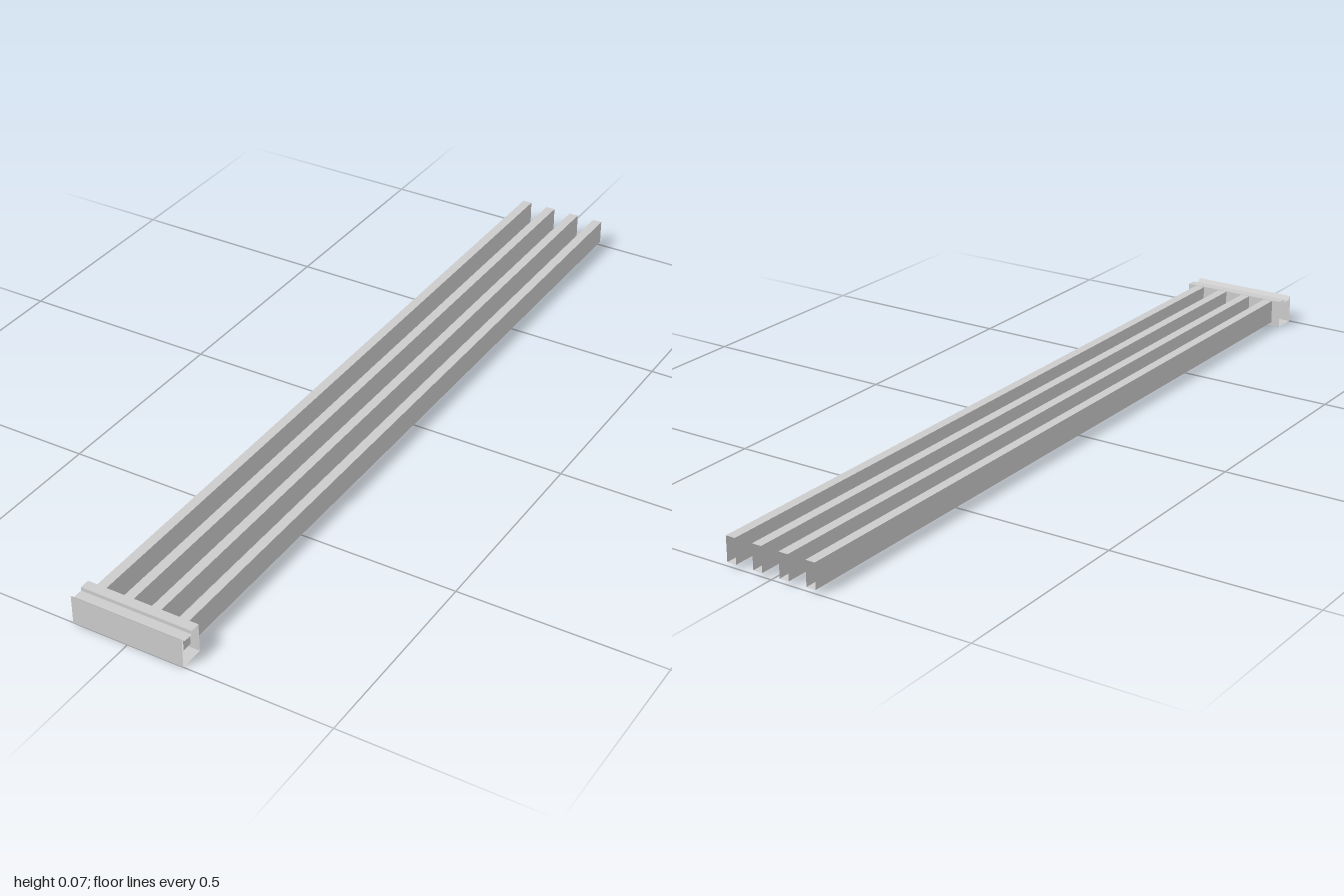
import * as THREE from 'three';

const material = new THREE.MeshStandardMaterial({ color: 0xcccccc, flatShading: true, side: THREE.DoubleSide });

// Open-ended sheet: sweeps a closed outline of 2D points between two 3D placements.
function sheetTube(name, outline, from, to, place) {
  const positions = [];
  outline.forEach((p, i) => {
    const q = outline[(i + 1) % outline.length];
    const a = place(p, from), b = place(q, from), c = place(q, to), d = place(p, to);
    positions.push(...a, ...b, ...c, ...a, ...c, ...d);
  });
  const geometry = new THREE.BufferGeometry();
  geometry.setAttribute('position', new THREE.Float32BufferAttribute(positions, 3));
  geometry.computeVertexNormals();
  const mesh = new THREE.Mesh(geometry, material);
  mesh.name = name;
  return mesh;
}

export function createModel() {
  const group = new THREE.Group();
  group.name = 'forkRack';

  // Front header: hollow rail, open at both sides, with a shallow groove along the top (z, y)
  const headerProfile = [
    [1, 0], [1, 0.071], [0.99, 0.062], [0.965, 0.062],
    [0.965, 0.071], [0.94, 0.071], [0.94, 0],
  ];
  group.add(sheetTube('header', headerProfile, 0.14, -0.14, ([z, y], x) => [x, y, z]));

  // Four long hollow bars, open at the ends (x, y)
  const w = 0.012;
  const barProfile = [[-w, 0.009], [w, 0.009], [w, 0.07], [-w, 0.07]];
  for (let i = 0; i < 4; i++) {
    const bar = sheetTube('bar' + (i + 1), barProfile, 0.965, -1, ([x, y], z) => [x, y, z]);
    // outline runs counter-clockwise from the front, so the sweep goes front to back
    bar.position.x = -0.105 + i * 0.07;
    group.add(bar);
  }
  // Outward winding for every sheet
  group.traverse((o) => {
    if (!o.isMesh) return;
    o.geometry.computeBoundingBox();
    const pos = o.geometry.attributes.position, nor = o.geometry.attributes.normal;
    const centre = o.geometry.boundingBox.getCenter(new THREE.Vector3());
    const v = new THREE.Vector3().fromBufferAttribute(pos, 0).sub(centre);
    const n = new THREE.Vector3().fromBufferAttribute(nor, 0);
    if (n.dot(v) < 0) {
      for (let i = 0; i < pos.count; i += 3) {
        const b = new THREE.Vector3().fromBufferAttribute(pos, i + 1);
        const c = new THREE.Vector3().fromBufferAttribute(pos, i + 2);
        pos.setXYZ(i + 1, c.x, c.y, c.z);
        pos.setXYZ(i + 2, b.x, b.y, b.z);
      }
      o.geometry.computeVertexNormals();
    }
  });
  return group;
}
